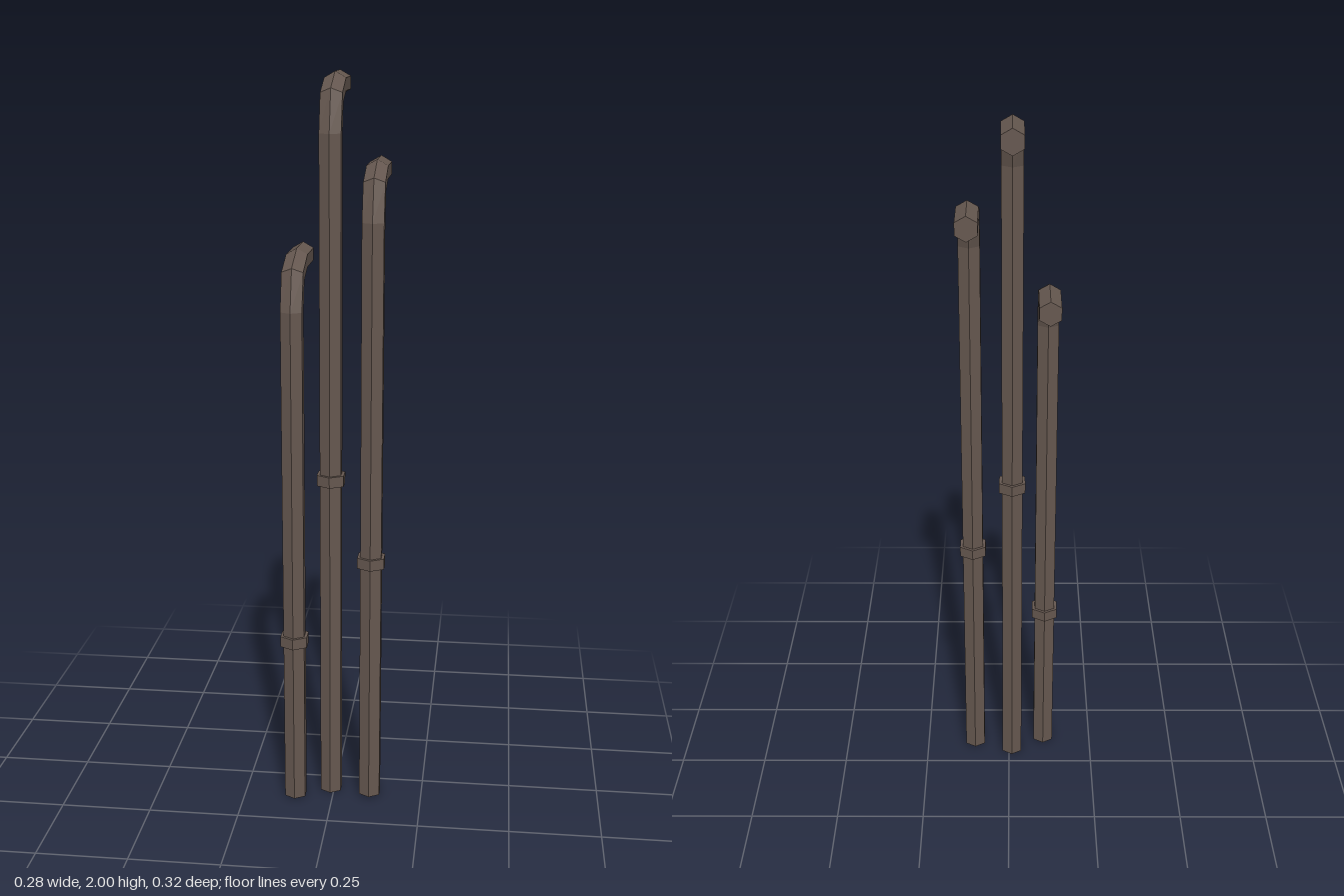
import * as THREE from 'three';

const SIDES = 6;
const PIPE_R = 0.033;
const COLLAR_R = 0.042;

// Sweeps a hexagon along a path in the y-z plane; rows are [y, z, angle], angle 0 = up, 90 deg = back.
function sweepPipe(path) {
  const rings = path.map(([y, z, angle]) => {
    const ring = [];
    for (let k = 0; k < SIDES; k++) {
      const a = (k / SIDES) * Math.PI * 2;
      const n = Math.cos(a) * PIPE_R;
      ring.push([Math.sin(a) * PIPE_R, y + n * Math.sin(angle), z + n * Math.cos(angle)]);
    }
    return ring;
  });
  const pos = [];
  const tri = (a, b, c) => pos.push(...a, ...b, ...c);
  const last = rings.length - 1;
  for (let k = 0; k < SIDES; k++) {
    const n = (k + 1) % SIDES;
    for (let i = 0; i < last; i++) {
      tri(rings[i][k], rings[i][n], rings[i + 1][n]);
      tri(rings[i][k], rings[i + 1][n], rings[i + 1][k]);
    }
    // end caps
    tri([0, path[0][0], path[0][1]], rings[0][n], rings[0][k]);
    tri([0, path[last][0], path[last][1]], rings[last][k], rings[last][n]);
  }
  const geo = new THREE.BufferGeometry();
  geo.setAttribute('position', new THREE.Float32BufferAttribute(pos, 3));
  geo.computeVertexNormals();
  return geo;
}

export function createModel() {
  const model = new THREE.Group();
  model.name = 'pipes';
  const metal = new THREE.MeshStandardMaterial({ color: 0x665850, flatShading: true });
  metal.name = 'brown metal';

  // x, z, base height, centre height of the top run, collar height
  const pipes = [
    ['rightPipe', -0.105, 0.116, 0.004, 1.517, 0.48],
    ['middlePipe', -0.009, 0.065, 0, 1.967, 0.933],
    ['leftPipe', 0.104, 0.091, 0.008, 1.747, 0.71],
  ];

  for (const [name, x, z, base, top, collarY] of pipes) {
    const group = new THREE.Group();
    group.name = name;
    group.position.x = x;

    // upright, two-step elbow, then a short run to the back
    const tube = new THREE.Mesh(sweepPipe([
      [base, z, 0],
      [top - 0.117, z, 0],
      [top - 0.029, z - 0.025, Math.PI / 4],
      [top, z - 0.1, Math.PI / 2],
      [top, z - 0.225, Math.PI / 2],
    ]), metal);
    tube.name = 'tube';

    // clamp ring
    const collar = new THREE.Mesh(new THREE.CylinderGeometry(COLLAR_R, COLLAR_R, 0.03, SIDES), metal);
    collar.name = 'collar';
    collar.position.set(0, collarY, z);

    group.add(tube, collar);
    model.add(group);
  }
  return model;
}
